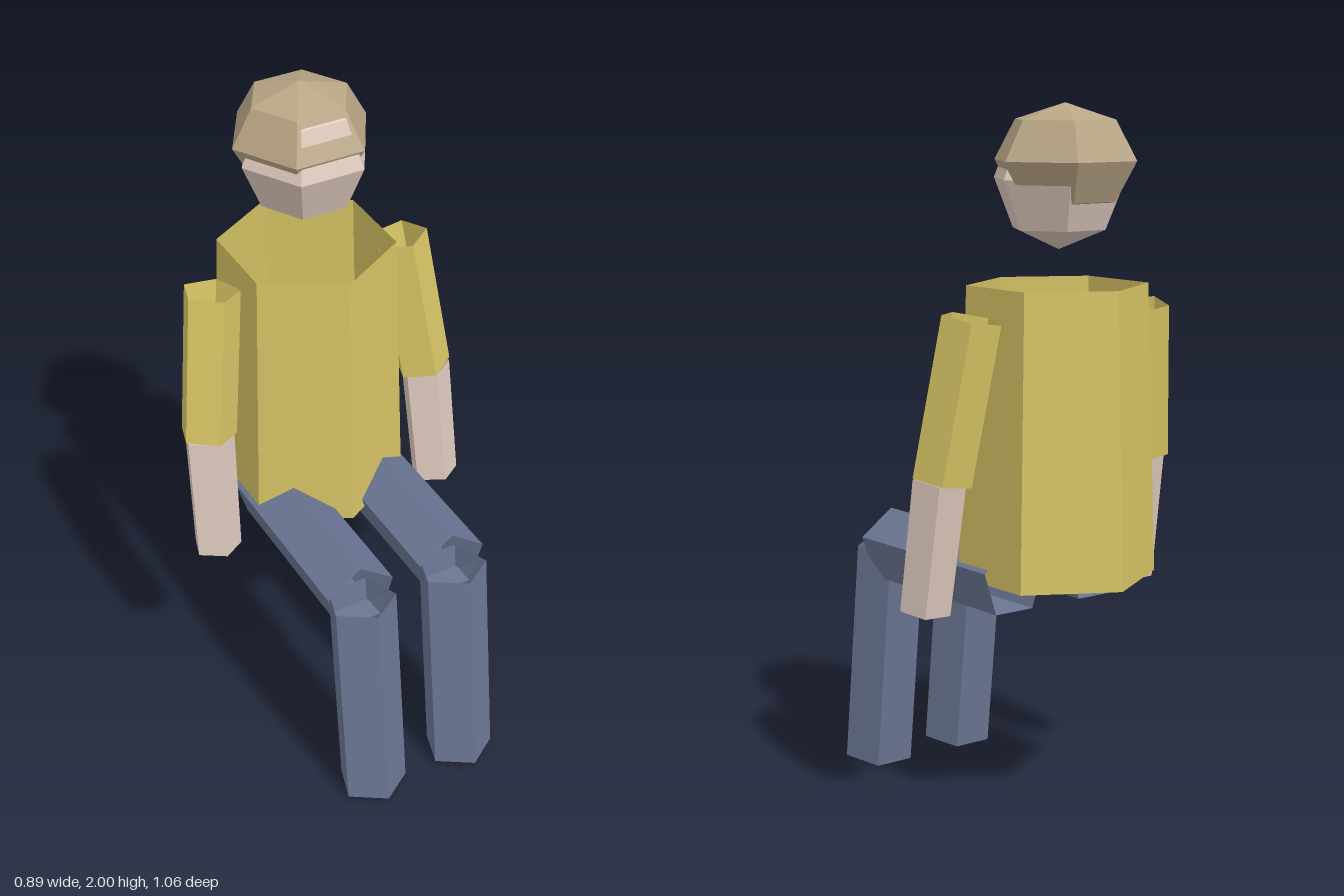
import * as THREE from 'three';

const UP = new THREE.Vector3(0, 1, 0);

function material(name, color) {
  const m = new THREE.MeshStandardMaterial({ color, flatShading: true, side: THREE.DoubleSide });
  m.name = name;
  return m;
}

// Open-ended tube between two points; one corner faces forward when upright
function tube(name, top, bottom, rTop, rBottom, sides, mat) {
  const a = new THREE.Vector3(...top), b = new THREE.Vector3(...bottom);
  const axis = a.clone().sub(b);
  const mesh = new THREE.Mesh(
    new THREE.CylinderGeometry(rTop, rBottom, axis.length(), sides, 1, true), mat);
  mesh.name = name;
  mesh.position.copy(a).add(b).multiplyScalar(0.5);
  mesh.quaternion.setFromUnitVectors(UP, axis.normalize());
  return mesh;
}

// Faceted six-sided ball
function ball(name, radius, height, y, z, mat) {
  const mesh = new THREE.Mesh(new THREE.SphereGeometry(1, 6, 4), mat);
  mesh.name = name;
  mesh.scale.set(radius, height, radius);
  mesh.position.set(0, y, z);
  return mesh;
}

export function createModel() {
  const shirt = material('yellow shirt', 0xd6c364);
  const trousers = material('blue trousers', 0x6b7694);
  const skin = material('skin', 0xddc9bc);
  const hair = material('brown hair', 0xb8a585);

  const model = new THREE.Group();
  model.name = 'seatedFigure';

  // Torso: open tapered hexagon
  model.add(tube('torso', [0, 1.505, -0.247], [0, 0.685, -0.249], 0.255, 0.281, 6, shirt));

  // Head, with the hair as a second ball set up and back
  model.add(ball('head', 0.192, 0.194, 1.795, -0.25, skin));
  model.add(ball('hair', 0.207, 0.155, 1.845, -0.275, hair));

  // Limbs: five-sided open tubes, mirrored
  for (const [side, s] of [['left', 1], ['right', -1]]) {
    model.add(
      tube(side + 'Sleeve', [s * 0.302, 1.43, -0.249], [s * 0.359, 0.985, -0.191], 0.0855, 0.0855, 5, shirt),
      tube(side + 'Forearm', [s * 0.362, 0.987, -0.183], [s * 0.374, 0.611, -0.13], 0.077, 0.073, 5, skin),
      tube(side + 'Thigh', [s * 0.15, 0.685, -0.245], [s * 0.15, 0.685, 0.35], 0.11, 0.11, 5, trousers),
      tube(side + 'Shin', [s * 0.15, 0.682, 0.352], [s * 0.15, 0.0095, 0.427], 0.103, 0.103, 5, trousers)
    );
  }
  return model;
}
